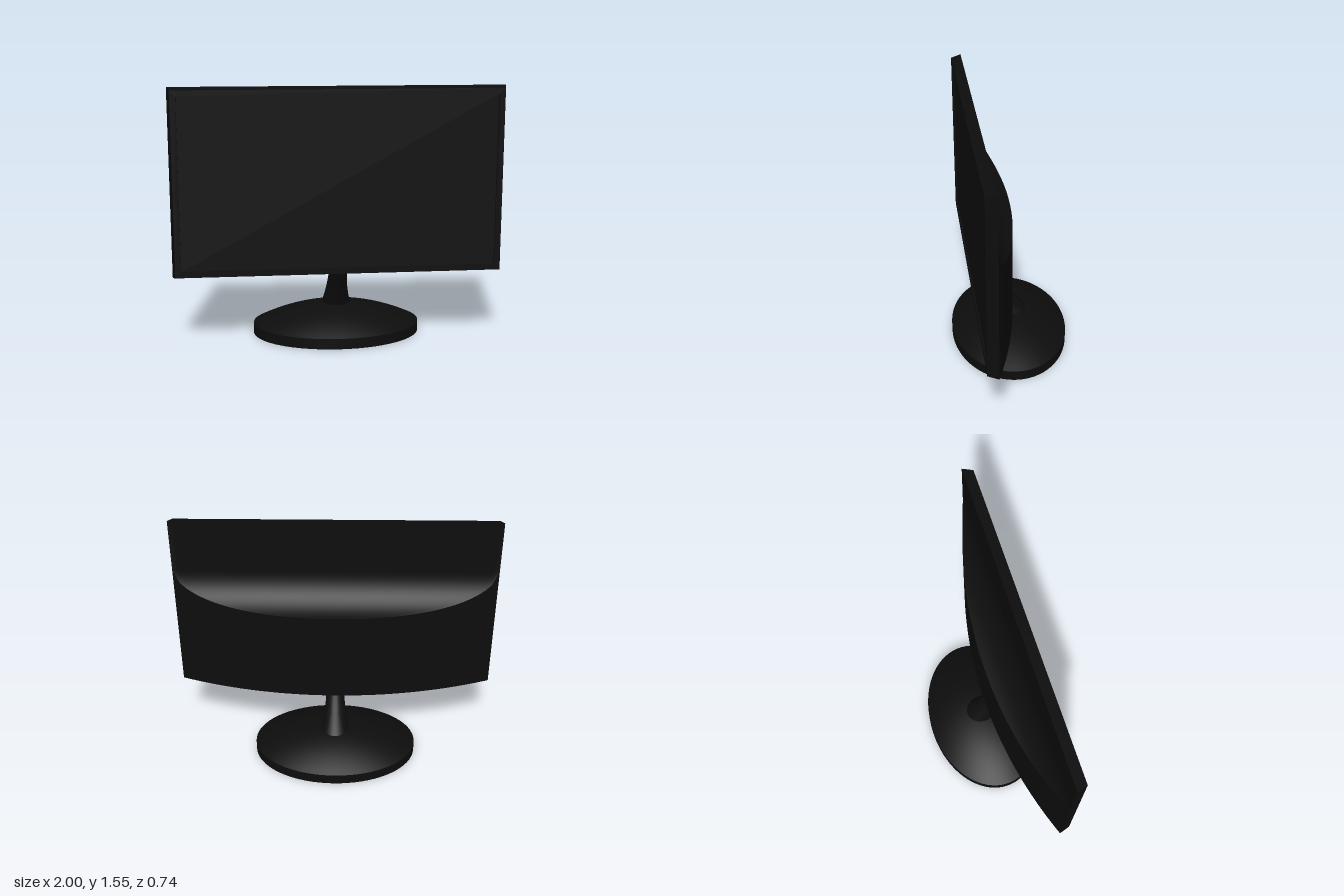
import * as THREE from 'three';
import { toCreasedNormals } from 'three/addons/utils/BufferGeometryUtils.js';

function mat(name, color) {
  const m = new THREE.MeshStandardMaterial({ color });
  m.name = name;
  return m;
}

function part(name, geometry, material) {
  const m = new THREE.Mesh(geometry, material);
  m.name = name;
  return m;
}

// Rear shell: yz sections swept across the width, with a concave scoop cut above the bulge
function shellGeometry() {
  const edgeZ = 0.185, frontZ = 0.25, bottom = 0.42, top = 1.555;
  const R = (1 + edgeZ * edgeZ) / (2 * edgeZ);
  const scoopY = 1.23, scoopR = 0.24, columns = 48, steps = 16;
  const pos = [], index = [];
  let rows = 0;
  for (let i = 0; i <= columns; i++) {
    const x = -1 + (2 * i) / columns;
    const z = R - Math.sqrt(R * R - x * x);
    const start = Math.acos(Math.min(1, (z - edgeZ + scoopR) / scoopR));
    const section = [[x * 0.98, 0.435, frontZ], [x, bottom, edgeZ], [x, bottom, z]];
    for (let k = 0; k <= steps; k++) {
      const a = start * (1 - k / steps);
      section.push([x, scoopY - scoopR * Math.sin(a), edgeZ - scoopR + scoopR * Math.cos(a)]);
    }
    section.push([x, top, edgeZ], [x * 0.98, 1.54, frontZ]);
    rows = section.length;
    pos.push(...section.flat());
  }
  for (let i = 0; i < columns; i++) {
    for (let j = 0; j < rows - 1; j++) {
      const a = i * rows + j, b = a + rows;
      index.push(a, a + 1, b, b, a + 1, b + 1);
    }
  }
  // side walls
  const l = columns * rows, e = rows - 1;
  index.push(l, l + 1, l + e - 1, l, l + e - 1, l + e);
  index.push(0, e - 1, 1, 0, e, e - 1);
  const g = new THREE.BufferGeometry();
  g.setAttribute('position', new THREE.Float32BufferAttribute(pos, 3));
  g.setIndex(index);
  return toCreasedNormals(g, 0.4);
}

function rectangle(Type, hw, y0, y1) {
  return new Type([[-hw, y0], [hw, y0], [hw, y1], [-hw, y1]].map(p => new THREE.Vector2(...p)));
}

// Leaning, tapering neck with an elliptical section
function neckGeometry() {
  const g = new THREE.CylinderGeometry(1, 1, 1, 40, 12, true);
  const p = g.attributes.position;
  for (let i = 0; i < p.count; i++) {
    const t = p.getY(i) + 0.5;
    const flare = (1 - t) * (1 - t);
    const y = 0.14 + 0.31 * t;
    p.setXYZ(i,
      p.getX(i) * (0.055 + 0.046 * flare),
      y,
      -0.042 + 0.175 * t + p.getZ(i) * (0.061 + 0.042 * flare));
  }
  g.computeVertexNormals();
  return toCreasedNormals(g, 0.7);
}

// Oval foot: short wall with a shallow dome
function baseGeometry() {
  const profile = [new THREE.Vector2(0, 0), new THREE.Vector2(1, 0)];
  for (let k = 0; k <= 14; k++) {
    const r = 1 - k / 14;
    profile.push(new THREE.Vector2(r, 0.19 - 0.125 * r * r));
  }
  const g = new THREE.LatheGeometry(profile, 72);
  g.scale(0.52, 1, 0.368);
  return toCreasedNormals(g, 0.6);
}

export function createModel() {
  const casing = mat('black casing', 0x0d0d0d);
  const glass = mat('dark screen', 0x0f0f0f);
  const model = new THREE.Group();
  model.name = 'monitor';

  model.add(part('rearShell', shellGeometry(), casing));

  // Bezel frame around the recessed screen
  const frame = rectangle(THREE.Shape, 0.98, 0.435, 1.54);
  frame.holes.push(rectangle(THREE.Path, 0.945, 0.47, 1.505));
  const bezel = part('bezel', new THREE.ExtrudeGeometry(frame, { depth: 0.015, bevelEnabled: false }), casing);
  bezel.position.z = 0.235;
  model.add(bezel);

  const screen = part('screen', new THREE.PlaneGeometry(1.9, 1.045), glass);
  screen.position.set(0, 0.9875, 0.238);
  model.add(screen);

  model.add(part('neck', neckGeometry(), casing));
  model.add(part('base', baseGeometry(), casing));
  return model;
}
